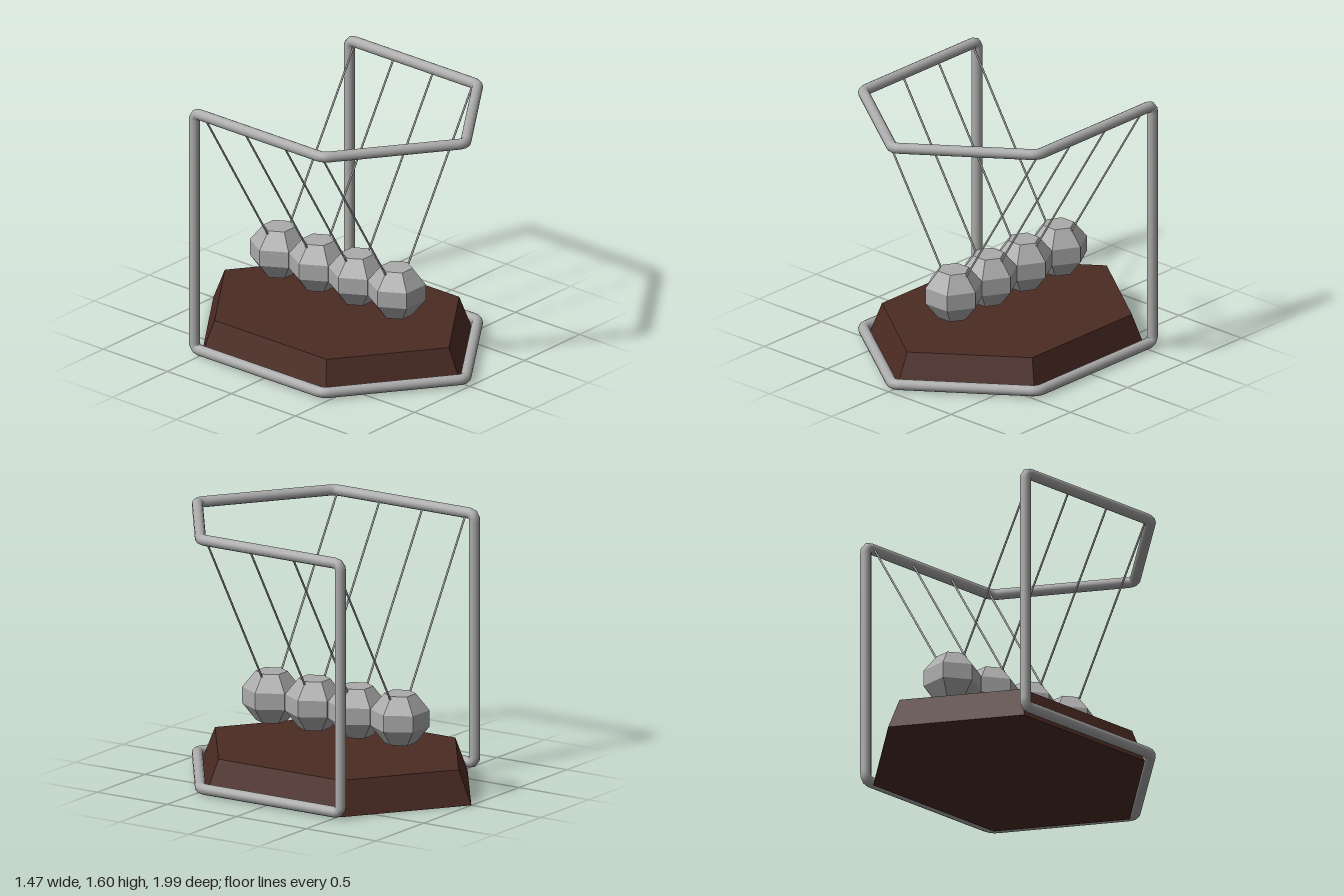
import * as THREE from 'three';

const steel = new THREE.MeshStandardMaterial({ color: 0xababab });
steel.name = 'steel';
const wood = new THREE.MeshStandardMaterial({ color: 0x4b2b23 });
wood.name = 'darkWood';

const V = (x, y, z) => new THREE.Vector3(x, y, z);

function addMesh(parent, name, geometry, material) {
  const mesh = new THREE.Mesh(geometry, material);
  mesh.name = name;
  parent.add(mesh);
  return mesh;
}

// One normal per face
function faceted(geometry) {
  const flat = geometry.toNonIndexed();
  flat.computeVertexNormals();
  return flat;
}

// Closed path through the corners, each one rounded off
function roundedLoop(corners, bend) {
  const path = new THREE.CurvePath();
  const n = corners.length;
  const toward = (a, b) => a.clone().add(b.clone().sub(a).setLength(bend));
  corners.forEach((corner, i) => {
    const prev = corners[(i + n - 1) % n];
    const next = corners[(i + 1) % n];
    path.add(new THREE.QuadraticBezierCurve3(toward(corner, prev), corner, toward(corner, next)));
    path.add(new THREE.LineCurve3(toward(corner, next), toward(next, corner)));
  });
  return path;
}

export function createModel() {
  const model = new THREE.Group();
  model.name = 'pendulumBalls';

  // Hexagonal plinth with sloping sides
  const plinth = new THREE.CylinderGeometry(0.875, 0.965, 0.205, 6);
  plinth.scale(0.796, 1, 1);
  plinth.translate(0, 0.1025, -0.035);
  addMesh(model, 'base', faceted(plinth), wood);

  // Bent tube frame: matching pointed rails above and below, joined by two posts
  const w = 0.704, low = 0.038, high = 1.563, back = -0.542, side = 0.462, tip = 0.968;
  const corners = [
    V(-w, low, back), V(-w, high, back), V(-w, high, side), V(0, high, tip),
    V(w, high, side), V(w, high, back), V(w, low, back), V(w, low, side),
    V(0, low, tip), V(-w, low, side),
  ];
  const loop = roundedLoop(corners, 0.04);
  addMesh(model, 'frame', new THREE.TubeGeometry(loop, 480, 0.033, 14, true), steel);

  // Faceted balls, each hung from both top rails
  const profile = [[0, -0.15], [0.095, -0.15], [0.175, -0.05], [0.175, 0.05], [0.095, 0.15], [0, 0.15]]
    .map(([r, y]) => new THREE.Vector2(r, y));
  const ballGeometry = faceted(new THREE.LatheGeometry(profile, 6, Math.PI / 6));
  for (let i = 0; i < 4; i++) {
    const pendulum = new THREE.Group();
    pendulum.name = 'pendulum' + (i + 1);
    pendulum.position.z = 0.433 - i * 0.307;
    model.add(pendulum);
    addMesh(pendulum, 'ball', ballGeometry, steel).position.y = 0.46;
    for (const s of [-1, 1]) {
      const wire = new THREE.LineCurve3(V(s * 0.085, 0.565, 0), V(s * 0.69, 1.56, 0));
      addMesh(pendulum, s > 0 ? 'leftString' : 'rightString',
        new THREE.TubeGeometry(wire, 1, 0.006, 8), steel);
    }
  }
  return model;
}
